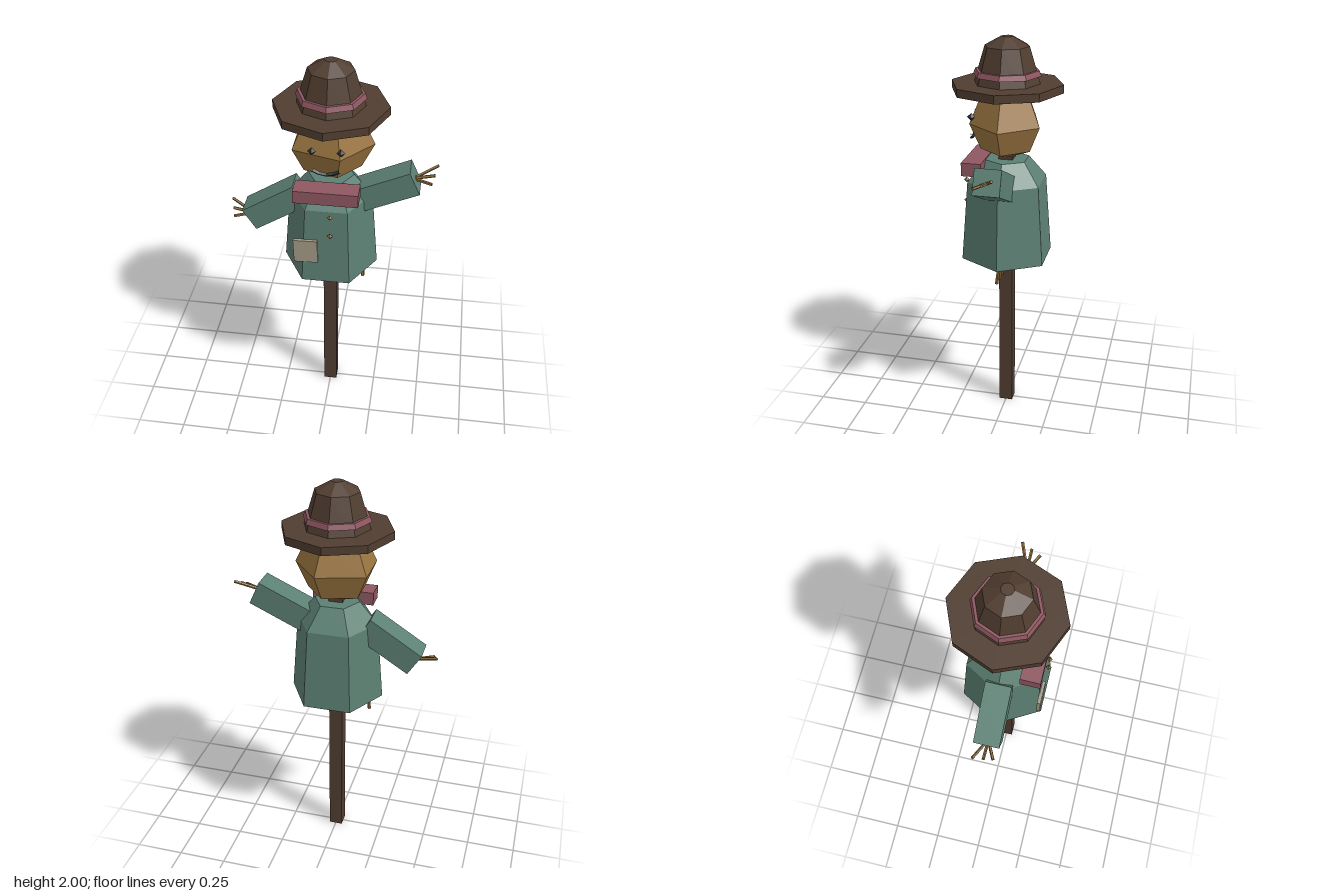
import * as THREE from 'three';

const mat = (color) => new THREE.MeshStandardMaterial({ color, flatShading: true });

export function createModel() {
  const model = new THREE.Group();
  model.name = 'scarecrow';
  const wood = mat(0x503d30), cloth = mat(0x5c8073), sack = mat(0x9a7540), felt = mat(0x503d30);
  const red = mat(0x8e5761), straw = mat(0x8f6d3a), dark = mat(0x2c3030), canvas = mat(0xa39a86);

  const add = (name, geometry, material, x = 0, y = 0, z = 0, parent = model) => {
    const mesh = new THREE.Mesh(geometry, material);
    mesh.name = name;
    mesh.position.set(x, y, z);
    parent.add(mesh);
    return mesh;
  };
  // Faceted solid of revolution from [radius, height] pairs, bottom to top
  const turned = (profile, sides) =>
    new THREE.LatheGeometry(profile.map(([r, y]) => new THREE.Vector2(r, y)), sides);
  // Thin stick between two points
  const stick = (name, from, to, radius, parent = model) => {
    const a = new THREE.Vector3(...from), b = new THREE.Vector3(...to);
    const d = b.clone().sub(a);
    const mesh = add(name, new THREE.CylinderGeometry(radius, radius, d.length(), 5), straw, 0, 0, 0, parent);
    mesh.position.copy(a.add(b).multiplyScalar(0.5));
    mesh.quaternion.setFromUnitVectors(new THREE.Vector3(0, 1, 0), d.normalize());
  };

  // Post
  add('post', new THREE.BoxGeometry(0.07, 1.42, 0.07), wood, 0, 0.71, 0);

  // Hexagonal coat with sloping shoulders
  const coat = add('coat', turned([[0, 0.88], [0.24, 0.88], [0.207, 1.29], [0.115, 1.4], [0, 1.4]], 6), cloth);
  coat.rotation.y = Math.PI / 6;

  // Sleeves, one raised and one lowered
  const sleeve = (name, from, to) => {
    const dx = to[0] - from[0], dy = to[1] - from[1];
    const mesh = add(name, new THREE.BoxGeometry(Math.hypot(dx, dy), 0.127, 0.13), cloth,
      (from[0] + to[0]) / 2, (from[1] + to[1]) / 2, 0);
    mesh.rotation.z = Math.atan2(dy, dx);
  };
  sleeve('leftSleeve', [0.129, 1.281], [0.412, 1.41]);
  sleeve('rightSleeve', [-0.15, 1.285], [-0.41, 1.119]);

  // Straw hands, three fingers each
  const hand = (name, wrist, tips) => {
    const group = new THREE.Group();
    group.name = name;
    model.add(group);
    for (const tip of tips) stick('strawFinger', wrist, tip, 0.008, group);
  };
  hand('leftHand', [0.4, 1.403, 0], [[0.518, 1.455, -0.05], [0.505, 1.428, 0], [0.492, 1.405, 0.046]]);
  hand('rightHand', [-0.4, 1.12, 0], [[-0.518, 1.165, -0.05], [-0.505, 1.14, 0], [-0.492, 1.122, 0.046]]);

  // Straw fringe under the coat
  for (const x of [0.06, 0.115, 0.17])
    for (const side of [-1, 1])
      stick('strawFringe', [side * x, 0.9, 0], [side * x, 0.78, 0.016], 0.009);

  // Five-sided sack head
  const head = add('head', new THREE.SphereGeometry(1, 5, 4), sack, 0, 1.58, 0);
  head.scale.set(0.212, 0.18, 0.184);
  head.rotation.y = Math.PI;

  // Face
  for (const side of [-1, 1])
    add('eye', new THREE.OctahedronGeometry(0.021), dark, side * 0.068, 1.615, 0.163);
  const smile = new THREE.CatmullRomCurve3([[-0.064, 1.52], [-0.035, 1.506], [0, 1.499], [0.035, 1.506], [0.064, 1.52]]
    .map(([x, y]) => new THREE.Vector3(x, y, 0.173)));
  add('mouth', new THREE.TubeGeometry(smile, 4, 0.01, 4), dark);

  // Hat: brim, crown and band
  add('hatBrim', new THREE.CylinderGeometry(0.277, 0.277, 0.04, 8), felt, 0, 1.76, 0);
  add('hatCrown', turned([[0.167, 1.77], [0.11, 1.955], [0.03, 2], [0, 2]], 8), felt);
  add('hatBand', new THREE.CylinderGeometry(0.158, 0.168, 0.026, 8), red, 0, 1.83, 0);

  // Scarf, patch and buttons on the front
  add('scarf', new THREE.BoxGeometry(0.315, 0.067, 0.1), red, -0.002, 1.373, 0.146);
  const patch = add('patch', new THREE.BoxGeometry(0.12, 0.13, 0.018), canvas, -0.1, 1.058, 0.197);
  patch.rotation.z = 0.03;
  for (const y of [1.275, 1.165])
    add('button', new THREE.OctahedronGeometry(0.015), straw, 0.022, y, 0.205);

  return model;
}
